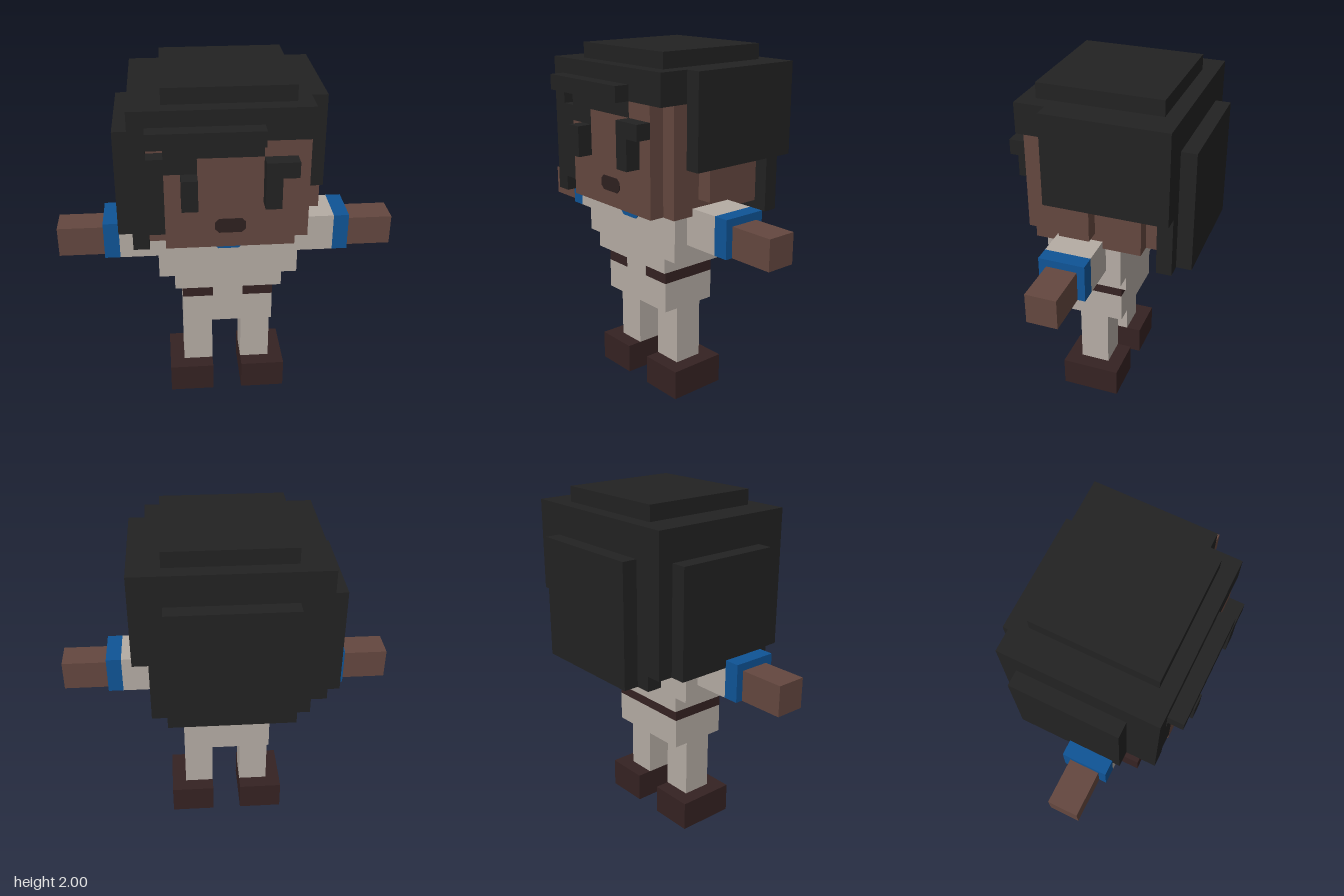
import * as THREE from 'three';

const U = 2 / 23; // one block of the figure's grid

const mat = (name, color) => {
  const m = new THREE.MeshStandardMaterial({ color });
  m.name = name;
  return m;
};

export function createModel() {
  const skin = mat('skin', 0x64473f);
  const hair = mat('hair', 0x222222);
  const cloth = mat('cream cloth', 0xb5aca4);
  const blue = mat('blue trim', 0x0f5496);
  const leather = mat('dark brown leather', 0x352222);
  const lip = mat('mouth', 0x2e2120);

  const model = new THREE.Group();
  model.name = 'blockFigure';

  // Box given by its ranges in grid blocks
  const box = (name, material, [x0, x1], [y0, y1], [z0, z1]) => {
    const mesh = new THREE.Mesh(
      new THREE.BoxGeometry((x1 - x0) * U, (y1 - y0) * U, (z1 - z0) * U), material);
    mesh.position.set((x0 + x1) / 2 * U, (y0 + y1) / 2 * U, (z0 + z1) / 2 * U);
    mesh.name = name;
    model.add(mesh);
  };

  // Thin front-facing plate with clipped corners; top corners stay square if topCut is 0
  const plate = (name, material, [x0, x1], [y0, y1], z, cut, topCut) => {
    const s = new THREE.Shape([
      [x0 + cut, y0], [x1 - cut, y0], [x1, y0 + cut], [x1, y1 - topCut],
      [x1 - topCut, y1], [x0 + topCut, y1], [x0, y1 - topCut], [x0, y0 + cut],
    ].map(([x, y]) => new THREE.Vector2(x * U, y * U)));
    const mesh = new THREE.Mesh(
      new THREE.ExtrudeGeometry(s, { depth: 0.004, bevelEnabled: false }), material);
    mesh.position.z = z * U;
    mesh.name = name;
    model.add(mesh);
  };

  // Limbs, mirrored
  for (const [side, s] of [['left', 1], ['right', -1]]) {
    const span = (a, b) => (s > 0 ? [a, b] : [-b, -a]);
    box(side + 'Shoe', leather, span(1, 4), [0, 2], [-1, 3]);
    box(side + 'Leg', cloth, span(1, 3), [2, 6], [0, 2]);
    box(side + 'Sleeve', cloth, span(4, 7), [11, 13.5], [-0.5, 2.5]);
    box(side + 'Cuff', blue, span(7, 8), [11, 13.5], [-0.5, 2.5]);
    box(side + 'Hand', skin, span(8, 11), [11, 13], [0, 2]);
    box(side + 'Ear', skin, span(5, s > 0 ? 6 : 5.5), [14, 16], [0, 2]);
  }

  // Body
  box('hips', cloth, [-3, 3], [6, 8], [-1, 3]);
  box('belt', leather, [-3, 3], [8, 9], [-1, 3]);
  plate('beltGap', cloth, [-1, 1], [8, 9], 3, 0, 0);
  box('waist', cloth, [-3.5, 3.5], [9, 10], [-1.5, 3.5]);
  box('chest', cloth, [-4.5, 4.5], [10, 13], [-1.5, 3.5]);
  plate('collar', blue, [-0.9, 0.9], [12, 13], 3.5, 0.25, 0);

  // Head with stepped corners
  box('head', skin, [-5, 5], [13, 20], [-3, 4]);
  box('headBack', skin, [-4, 4], [13, 20], [-4, -3]);
  box('face', skin, [-4, 4], [13, 18], [4, 5]);
  box('brow', skin, [-2, 4], [18, 19], [4, 5]);
  box('forehead', skin, [2, 4], [19, 20], [4, 5]);
  plate('mouth', lip, [-0.95, 0.95], [14, 14.95], 5, 0.25, 0.25);
  box('rightEye', hair, [-3, -2], [16, 18], [5, 6]);
  box('leftEye', hair, [2, 3], [16, 18], [5, 6]);
  box('leftEyebrow', hair, [2, 4], [18, 19], [5, 6]);

  // Hair
  box('hairTop', hair, [-4, 4], [22, 23], [-4, 4]);
  box('hairCap', hair, [-5, 5], [20, 22], [-5, 5]);
  box('hairFringe', hair, [-5, 2], [20, 21], [5, 6]);
  box('hairForehead', hair, [-4, 2], [19, 20], [4, 5]);
  box('hairTemple', hair, [-4, -2], [18, 19], [4, 5]);
  box('hairLock', hair, [-5, -4], [14, 19], [4, 5]);
  box('hairLeft', hair, [5, 6], [16, 22], [-5, 3]);
  box('hairRight', hair, [-6, -5], [13, 22], [-5, 5]);
  box('hairRightLayer', hair, [-7, -6], [13, 20], [-4, 3]);
  box('hairBack', hair, [-5, 5], [12, 20], [-5, -4]);
  box('hairBackLayer', hair, [-4, 4], [12, 20], [-6, -5]);

  return model;
}
